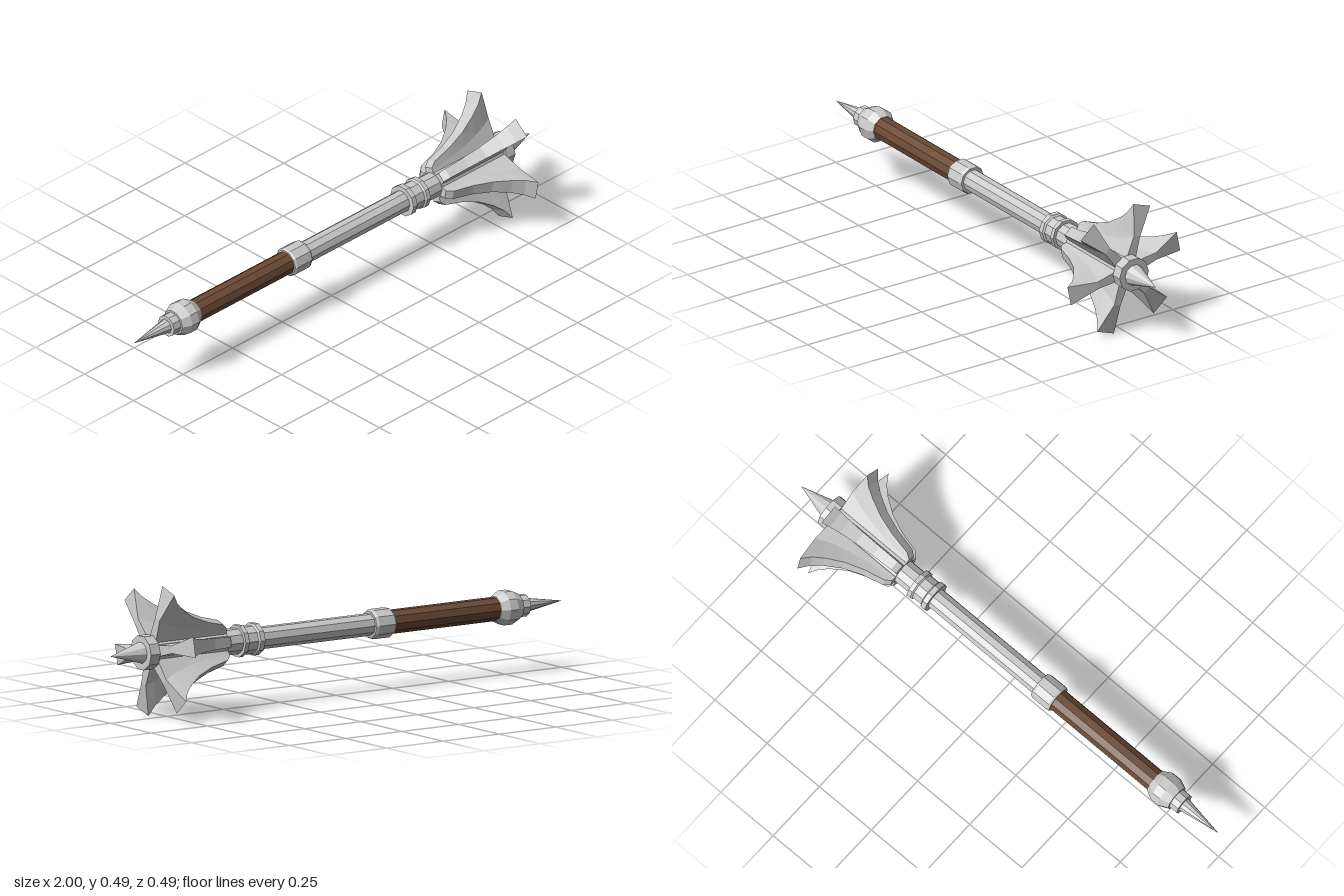
import * as THREE from 'three';

const SIDES = 10;
const steel = new THREE.MeshStandardMaterial({ color: 0xcccccc, flatShading: true, side: THREE.DoubleSide });
const leather = new THREE.MeshStandardMaterial({ color: 0x6b4a35, flatShading: true });

// Faceted turned part along x from [x, radius] pairs
function turned(name, profile, material = steel) {
  const points = profile.map(([x, r]) => new THREE.Vector2(r, x));
  const geometry = new THREE.LatheGeometry(points, SIDES);
  geometry.rotateZ(-Math.PI / 2);
  const mesh = new THREE.Mesh(geometry, material);
  mesh.name = name;
  return mesh;
}

// Closed ring or cylinder between two x positions
const ring = (name, x0, x1, r, material) =>
  turned(name, [[x0, 0], [x0, r], [x1, r], [x1, 0]], material);

// One flange: six-point cross-sections stacked along x, flaring to the front
function flangeGeometry() {
  // x, outer radius, outer half width, waist half width
  const stations = [
    [0.51, 0.066, 0.018, 0.019],
    [0.53, 0.085, 0.019, 0.019],
    [0.61, 0.106, 0.021, 0.019],
    [0.68, 0.135, 0.024, 0.018],
    [0.74, 0.175, 0.029, 0.016],
    [0.775, 0.207, 0.034, 0.015],
    [0.80, 0.244, 0.0385, 0.014],
  ];
  const base = 0.04, baseHalf = 0.021;
  const rings = stations.map(([x, r, w, m], i) => {
    const lean = 0.024 * (i / (stations.length - 1)) ** 2;
    const mid = base + (r - base) * 0.45;
    return [
      [x, r, w], [x + lean * 0.9, mid, m], [x + lean, base, baseHalf],
      [x + lean, base, -baseHalf], [x + lean * 0.9, mid, -m], [x, r, -w],
    ];
  });
  const positions = [];
  const quad = (a, b, c, d) => positions.push(...a, ...b, ...c, ...a, ...c, ...d);
  for (let i = 0; i < rings.length - 1; i++) {
    const p = rings[i], q = rings[i + 1];
    for (let j = 0; j < 6; j++) {
      const k = (j + 1) % 6;
      quad(p[j], p[k], q[k], q[j]);
    }
  }
  const f = rings[rings.length - 1], b = rings[0];
  quad(f[0], f[1], f[4], f[5]);
  quad(f[1], f[2], f[3], f[4]);
  quad(b[5], b[4], b[1], b[0]);
  quad(b[4], b[3], b[2], b[1]);
  const geometry = new THREE.BufferGeometry();
  geometry.setAttribute('position', new THREE.Float32BufferAttribute(positions, 3));
  geometry.computeVertexNormals();
  return geometry;
}

export function createModel() {
  const mace = new THREE.Group();
  mace.name = 'mace';

  // Pommel end
  mace.add(
    turned('pommelSpike', [[-1, 0], [-0.83, 0.028]]),
    ring('pommelRing', -0.835, -0.795, 0.041),
    turned('pommel', [[-0.80, 0], [-0.80, 0.048], [-0.765, 0.064], [-0.73, 0.064], [-0.70, 0.047], [-0.70, 0]]),
  );

  // Handle and shaft
  mace.add(
    ring('grip', -0.71, -0.22, 0.044, leather),
    turned('gripCollar', [[-0.232, 0], [-0.232, 0.05], [-0.225, 0.055], [-0.155, 0.055], [-0.145, 0.05], [-0.145, 0]]),
    ring('shaft', -0.15, 0.37, 0.041),
    turned('neckCollar', [
      [0.355, 0], [0.355, 0.06], [0.375, 0.06], [0.38, 0.053],
      [0.42, 0.053], [0.425, 0.06], [0.442, 0.06], [0.442, 0],
    ]),
    ring('neck', 0.44, 0.52, 0.048),
  );

  // Head: hub, front collar and spike
  mace.add(
    ring('hub', 0.51, 0.83, 0.053),
    ring('frontCollar', 0.823, 0.865, 0.064),
    turned('frontSpike', [[0.86, 0.041], [1, 0]]),
  );

  // Six flanges round the hub
  const blade = flangeGeometry();
  const flanges = new THREE.Group();
  flanges.name = 'flanges';
  for (let i = 0; i < 6; i++) {
    const flange = new THREE.Mesh(blade, steel);
    flange.name = 'flange';
    flange.rotation.x = THREE.MathUtils.degToRad(-19 + 60 * i);
    flanges.add(flange);
  }
  mace.add(flanges);

  mace.position.y = 0.243;
  const model = new THREE.Group();
  model.name = 'flangedMace';
  model.add(mace);
  return model;
}
